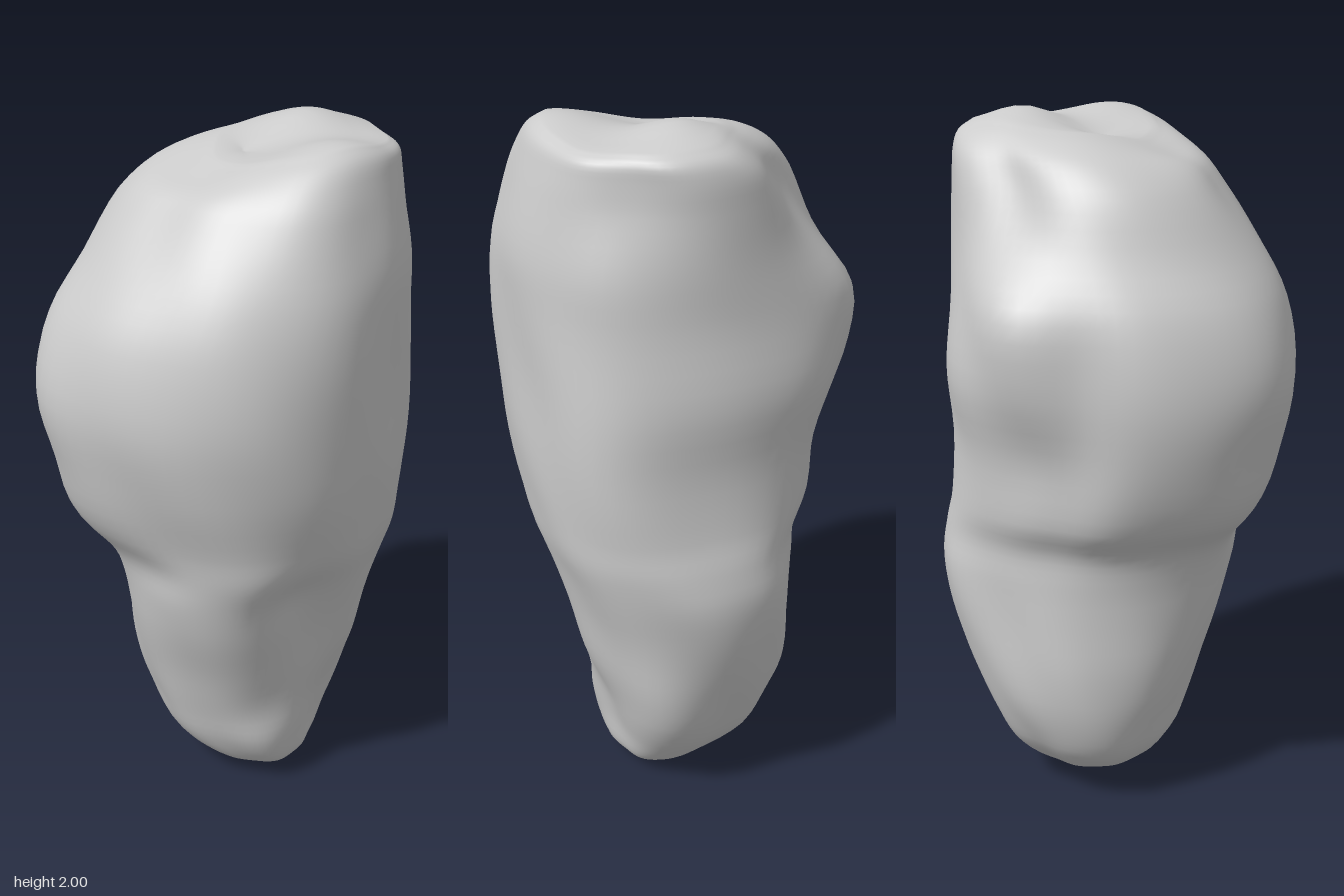
import * as THREE from 'three';

// Rock cross-sections: height, then x and z limits
const SECTIONS = [
  [0.02, 0.02, 0.2, -0.17, 0.03],
  [0.06, -0.1, 0.24, -0.23, 0.11],
  [0.16, -0.23, 0.255, -0.315, 0.18],
  [0.28, -0.28, 0.285, -0.37, 0.22],
  [0.44, -0.3, 0.35, -0.435, 0.27],
  [0.6, -0.3, 0.39, -0.485, 0.33],
  [0.72, -0.305, 0.42, -0.5, 0.365],
  [0.82, -0.325, 0.445, -0.485, 0.39],
  [0.92, -0.405, 0.455, -0.465, 0.41],
  [1.1, -0.47, 0.468, -0.455, 0.465],
  [1.3, -0.495, 0.475, -0.475, 0.5],
  [1.5, -0.46, 0.485, -0.45, 0.475],
  [1.65, -0.38, 0.488, -0.442, 0.415],
  [1.8, -0.31, 0.462, -0.44, 0.32],
  [1.88, -0.23, 0.442, -0.435, 0.26],
  [1.925, -0.14, 0.425, -0.415, 0.2],
  [1.945, -0.06, 0.39, -0.37, 0.14],
];

// Dents and swellings: angle from +x towards +z, height, angular and vertical spread, depth
const BUMPS = [
  // Front right: flat flank beside a corner, fuller at the top
  [0.6, 0.6, 0.42, 0.26, -0.06],
  [0.8, 0.72, 0.3, 0.1, -0.03],
  [0.78, 0.15, 0.4, 0.12, 0.035],
  [0.85, 1.86, 0.4, 0.14, 0.03],
  // Back left: narrow stem, high shoulder
  [-2.36, 0.68, 0.48, 0.35, -0.045],
  [-2.36, 0.14, 0.4, 0.14, -0.03],
  [-2.36, 1.1, 0.4, 0.18, -0.05],
  [-2.36, 1.5, 0.35, 0.12, 0.035],
  [-2.36, 1.82, 0.45, 0.16, -0.08],
  [-2.75, 1.25, 0.25, 0.35, -0.035],
  // Back right: full ridge
  [-0.78, 0.26, 0.42, 0.2, 0.07],
  [-0.65, 1.05, 0.4, 0.3, 0.055],
  [-0.65, 1.45, 0.35, 0.3, 0.03],
  [-0.78, 1.85, 0.4, 0.16, -0.03],
  // Front left: overhanging belly above the waist
  [2.36, 0.95, 0.4, 0.12, 0.035],
  [2.36, 0.22, 0.4, 0.16, -0.03],
  [1.9, 0.83, 0.3, 0.08, -0.02],
  [2.4, 1.3, 0.4, 0.25, 0.025],
  [2.0, 1.8, 0.35, 0.15, -0.025],
];

// Crown lobes and hollow: x, z, spread, height
const CROWN = [
  [0.14, -0.23, 0.13, 0.055],
  [0.32, 0.04, 0.14, 0.04],
  [-0.03, 0.15, 0.16, -0.04],
];

function relief(a, y) {
  let r = 0.003 * Math.sin(9 * a - 11 * y + 1);
  for (const [a0, y0, sa, sy, depth] of BUMPS) {
    const da = Math.atan2(Math.sin(a - a0), Math.cos(a - a0)) / sa;
    const dy = (y - y0) / sy;
    r += depth * Math.exp(-da * da - dy * dy);
  }
  return r;
}

function crownHeight(x, z) {
  return CROWN.reduce((h, [cx, cz, s, d]) =>
    h + d * Math.exp(-((x - cx) ** 2 + (z - cz) ** 2) / (s * s)), 0);
}

function rockGeometry(rings = 64, sides = 72, crownRings = 8) {
  // Smooth curves through the section limits
  const lows = new THREE.CatmullRomCurve3(SECTIONS.map(s => new THREE.Vector3(s[1], s[0], s[3])));
  const highs = new THREE.CatmullRomCurve3(SECTIONS.map(s => new THREE.Vector3(s[2], s[0], s[4])));
  const pos = [0.1, 0, -0.1];
  const index = [];
  for (let i = 0; i <= rings; i++) {
    const lo = lows.getPoint(i / rings), hi = highs.getPoint(i / rings);
    const y = (lo.y + hi.y) / 2;
    const cx = (lo.x + hi.x) / 2, cz = (lo.z + hi.z) / 2;
    const rx = (hi.x - lo.x) / 2, rz = (hi.z - lo.z) / 2;
    const crown = THREE.MathUtils.smoothstep(y, 1.82, 1.945);
    for (let j = 0; j < sides; j++) {
      const a = j / sides * Math.PI * 2;
      const c = Math.cos(a), s = Math.sin(a);
      // Slightly squared ellipse plus relief
      const k = Math.pow(Math.abs(c) ** 2.15 + Math.abs(s) ** 2.15, -1 / 2.15);
      const r = relief(a, y) * Math.min(1, rx / 0.28);
      const x = cx + c * (rx * k + r), z = cz + s * (rz * k + r);
      pos.push(x, y + crown * crownHeight(x, z), z);
    }
  }
  // Lobed crown closing to a central pit
  const rim = 1 + rings * sides;
  for (let t = 1; t <= crownRings; t++) {
    const f = t / (crownRings + 1);
    for (let j = 0; j < sides; j++) {
      const o = (rim + j) * 3;
      const x = THREE.MathUtils.lerp(pos[o], 0.04, f);
      const z = THREE.MathUtils.lerp(pos[o + 2], -0.03, f);
      pos.push(x, 1.945 - 0.02 * f * f + crownHeight(x, z), z);
    }
  }
  pos.push(0.04, 1.925 + crownHeight(0.04, -0.03), -0.03);
  const total = rings + 1 + crownRings, top = pos.length / 3 - 1;
  for (let j = 0; j < sides; j++) {
    const n = (j + 1) % sides;
    index.push(0, 1 + j, 1 + n);
    for (let i = 0; i < total - 1; i++) {
      const p = 1 + i * sides, q = p + sides;
      index.push(p + j, q + j, p + n, q + j, q + n, p + n);
    }
    const p = 1 + (total - 1) * sides;
    index.push(p + j, top, p + n);
  }
  const geo = new THREE.BufferGeometry();
  geo.setAttribute('position', new THREE.Float32BufferAttribute(pos, 3));
  geo.setIndex(index);
  geo.computeVertexNormals();
  return geo;
}

export function createModel() {
  const group = new THREE.Group();
  group.name = 'standingRock';
  const rock = new THREE.Mesh(rockGeometry(), new THREE.MeshStandardMaterial({ color: 0xcccccc }));
  rock.name = 'rock';
  group.add(rock);
  return group;
}
